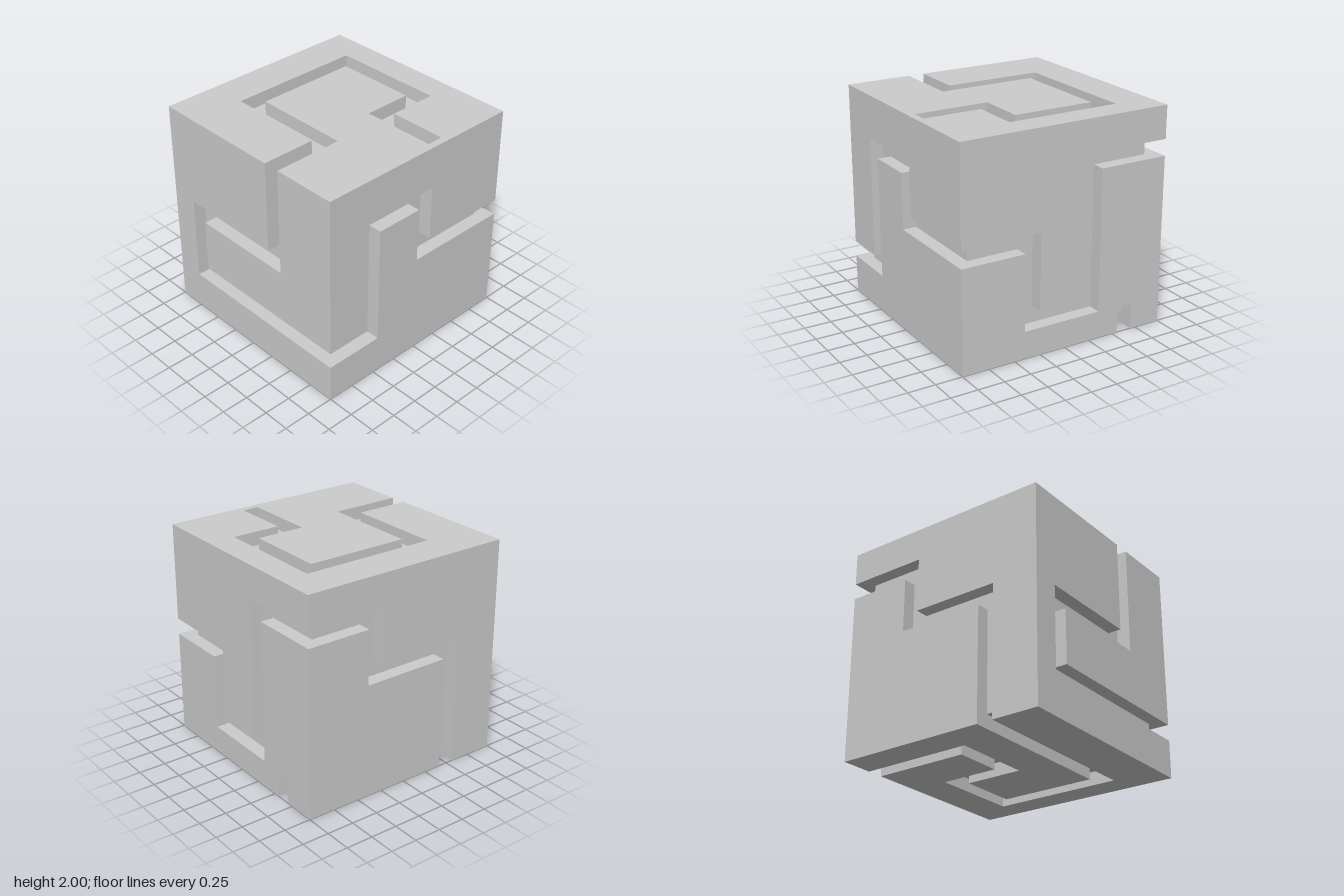
import * as THREE from 'three';
import { mergeGeometries } from 'three/addons/utils/BufferGeometryUtils.js';

const HALF_WIDTH = 0.075; // half the groove width
const FLOOR = 0.875;      // distance of the groove floors from the centre

const material = new THREE.MeshStandardMaterial({ color: 0xcccccc, flatShading: true });

// Centre lines of the grooves, per face, in face coordinates (right, up) from -1 to 1.
const faces = [
  { name: 'frontPanel', rotation: [0, 0, 0], grooves: [
    [[1, -0.575], [-0.675, -0.575], [-0.675, 0.075], [0.325, 0.075], [0.325, 1]]] },
  { name: 'rightPanel', rotation: [0, Math.PI / 2, 0], grooves: [
    [[-1, -0.575], [-0.525, -0.575], [-0.525, 0.535], [0.075, 0.535], [0.075, 0.025], [1, 0.025]]] },
  { name: 'backPanel', rotation: [0, Math.PI, 0], grooves: [
    [[-1, 0.025], [-0.325, 0.025], [-0.325, -0.675], [0.275, -0.675], [0.275, 0.625], [1, 0.625]],
    [[0.625, -1], [0.625, -0.76]]] },
  { name: 'leftPanel', rotation: [0, -Math.PI / 2, 0], grooves: [
    [[-1, 0.625], [-0.325, 0.625], [-0.325, 0.125], [0.49, 0.125], [0.49, -1]]] },
  { name: 'topPanel', rotation: [-Math.PI / 2, 0, 0], grooves: [
    [[0.325, -1], [0.325, -0.425], [-0.575, -0.425], [-0.575, 0.675], [0.325, 0.675],
      [0.325, 0.225], [0.935, 0.225]]] },
  { name: 'bottomPanel', rotation: [Math.PI / 2, 0, 0], grooves: [
    [[-1, 0.49], [0.675, 0.49], [0.675, -0.575], [-0.025, -0.575], [-0.025, -0.025],
      [-0.625, -0.025], [-0.625, -1]]] },
];

// One side of a groove: the right-angled centre line shifted left (side 1) or right (side -1).
function offsetLine(path, side) {
  const normals = path.slice(1).map(([x, y], i) => [
    -Math.sign(y - path[i][1]), Math.sign(x - path[i][0])]);
  return path.map(([x, y], i) => {
    const a = normals[Math.max(i - 1, 0)];
    const b = normals[Math.min(i, normals.length - 1)];
    const both = i > 0 && i < path.length - 1;
    const shift = side * HALF_WIDTH;
    return new THREE.Vector2(
      x + shift * (both ? a[0] + b[0] : a[0]),
      y + shift * (both ? a[1] + b[1] : a[1]));
  });
}

// Groove sides as lines with the solid on their left; a dead end joins both sides.
function grooveSides(path) {
  const left = offsetLine(path, 1);
  const right = offsetLine(path, -1).reverse();
  const open = path.at(-1).some((c) => Math.abs(c) === 1);
  return open ? [left, right] : [[...left, ...right]];
}

// Distance of a border point around the square, counter-clockwise from its lower left corner.
function around({ x, y }) {
  if (y === -1) return x + 1;
  if (x === 1) return y + 3;
  if (y === 1) return 5 - x;
  return 7 - y;
}

// Joins the groove sides along the border of the face into closed outlines.
function outlines(sides) {
  const corners = [[-1, -1], [1, -1], [1, 1], [-1, 1]].map((c) => new THREE.Vector2(...c));
  const ahead = (from, to) => (around(to) - around(from) + 8) % 8;
  const waiting = [...sides];
  const result = [];
  while (waiting.length) {
    const first = waiting[0];
    const points = [];
    let line = first;
    do {
      points.push(...line);
      waiting.splice(waiting.indexOf(line), 1);
      const end = line.at(-1);
      const next = [first, ...waiting].sort((a, b) => ahead(end, a[0]) - ahead(end, b[0]))[0];
      points.push(...corners
        .filter((c) => ahead(end, c) < ahead(end, next[0]))
        .sort((a, b) => ahead(end, a) - ahead(end, b)));
      line = next;
    } while (line !== first);
    result.push(new THREE.Shape(points));
  }
  return result;
}

// Upright walls from the surface down to the groove floor.
function wallGeometry(line) {
  const positions = [];
  for (let i = 0; i < line.length - 1; i++) {
    const a = line[i], b = line[i + 1];
    positions.push(
      a.x, a.y, 1, a.x, a.y, FLOOR, b.x, b.y, FLOOR,
      a.x, a.y, 1, b.x, b.y, FLOOR, b.x, b.y, 1);
  }
  const geometry = new THREE.BufferGeometry();
  geometry.setAttribute('position', new THREE.Float32BufferAttribute(positions, 3));
  geometry.computeVertexNormals();
  return geometry;
}

function addMesh(parent, name, geometry) {
  const mesh = new THREE.Mesh(geometry, material);
  mesh.name = name;
  parent.add(mesh);
  return mesh;
}

export function createModel() {
  const model = new THREE.Group();
  model.name = 'grooveCube';
  const cube = new THREE.Group();
  cube.name = 'cube';
  cube.position.y = 1;
  model.add(cube);

  // Inner block whose faces are the groove floors
  addMesh(cube, 'grooveFloors', new THREE.BoxGeometry(2 * FLOOR, 2 * FLOOR, 2 * FLOOR));

  // Outer faces with their groove walls
  for (const { name, rotation, grooves } of faces) {
    const panel = new THREE.Group();
    panel.name = name;
    panel.rotation.set(...rotation);
    const sides = grooves.flatMap(grooveSides);
    addMesh(panel, 'surface', new THREE.ShapeGeometry(outlines(sides)).translate(0, 0, 1));
    addMesh(panel, 'grooveWalls', mergeGeometries(sides.map(wallGeometry)));
    cube.add(panel);

    // Floor of the dead end that reaches past the inner block
    if (name === 'topPanel') {
      addMesh(panel, 'deadEndFloor', new THREE.PlaneGeometry(0.06, 2 * HALF_WIDTH))
        .position.set(0.905, 0.225, FLOOR);
    }
  }
  return model;
}
